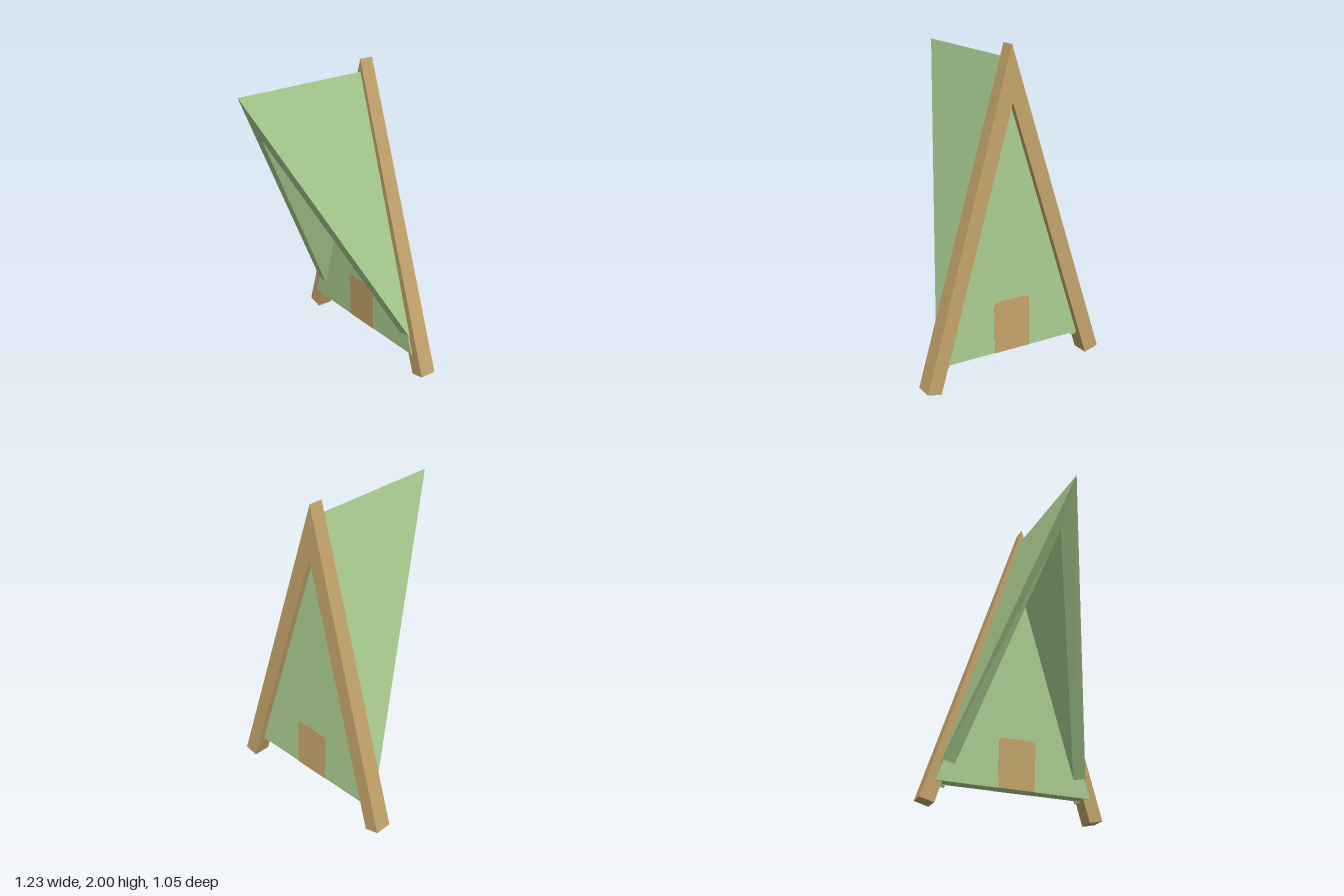
import * as THREE from 'three';

const wood = new THREE.MeshStandardMaterial({ color: 0xc4a46a });
wood.name = 'wood';
const green = new THREE.MeshStandardMaterial({ color: 0xaacd91 });
green.name = 'canvasGreen';

// Flat-faced solid between two matching convex outlines; a is counter-clockwise seen from outside
function prism(name, a, b, material) {
  const pos = [];
  const tri = (...pts) => pts.forEach((p) => pos.push(...p));
  const n = a.length;
  for (let i = 1; i < n - 1; i++) {
    tri(a[0], a[i], a[i + 1]);
    tri(b[0], b[i + 1], b[i]);
  }
  for (let i = 0; i < n; i++) {
    const j = (i + 1) % n;
    tri(a[i], b[i], b[j]);
    tri(a[i], b[j], a[j]);
  }
  const geo = new THREE.BufferGeometry();
  geo.setAttribute('position', new THREE.Float32BufferAttribute(pos, 3));
  geo.computeVertexNormals();
  const mesh = new THREE.Mesh(geo, material);
  mesh.name = name;
  return mesh;
}

// Upright plate whose front and back lean with height
function leaning(name, outline, front, back, material) {
  const place = (z) => outline.map(([x, y]) => [x, y, z(y)]);
  return prism(name, place(front), place(back), material);
}

export function createModel() {
  const group = new THREE.Group();

  // Two leaning beams mitred at the apex
  const beamFront = (y) => -0.415 + 0.0375 * y;
  const beamBack = (y) => -0.525 + 0.0475 * y;
  group.add(leaning('leftBeam', [[0.525, 0], [0.615, 0.02], [0, 2], [0, 1.67]], beamFront, beamBack, wood));
  group.add(leaning('rightBeam', [[-0.615, 0.04], [-0.52, 0.015], [0, 1.67], [0, 2]], beamFront, beamBack, wood));

  // Triangular wall between the beams
  const wallFront = (y) => -0.4 + 0.042 * (y - 0.15);
  const wallBack = (y) => -0.48 + 0.045 * (y - 0.15);
  group.add(leaning('wall', [[-0.52, 0.15], [0.52, 0.15], [0, 1.89]], wallFront, wallBack, green));

  // Roof wings: thick triangles meeting along the ridge
  for (const s of [1, -1]) {
    const outer = [[s * 0.527, 0.15, -0.468], [0, 1.92, -0.36], [0, 1.92, 0.525]];
    const inner = [[s * 0.445, 0.126, -0.472], [-0.03, 1.62, -0.372], [-0.03, 1.62, 0.352]];
    if (s < 0) {
      outer.reverse();
      inner.reverse();
    }
    group.add(prism(s > 0 ? 'leftRoofWing' : 'rightRoofWing', outer, inner, green));
  }

  // Painted door on both faces of the wall
  const door = new THREE.Shape();
  door.moveTo(-0.115, 0.15);
  door.lineTo(0.13, 0.15);
  door.lineTo(0.13, 0.435);
  door.quadraticCurveTo(0.13, 0.475, 0.095, 0.475);
  door.lineTo(-0.085, 0.475);
  door.quadraticCurveTo(-0.12, 0.475, -0.12, 0.435);
  const outline = door.getPoints(5).map((p) => [p.x, p.y]);
  group.add(leaning('frontDoor', outline, (y) => wallFront(y) + 0.003, (y) => wallFront(y) - 0.003, wood));
  group.add(leaning('backDoor', outline, (y) => wallBack(y) + 0.003, (y) => wallBack(y) - 0.003, wood));

  return group;
}
